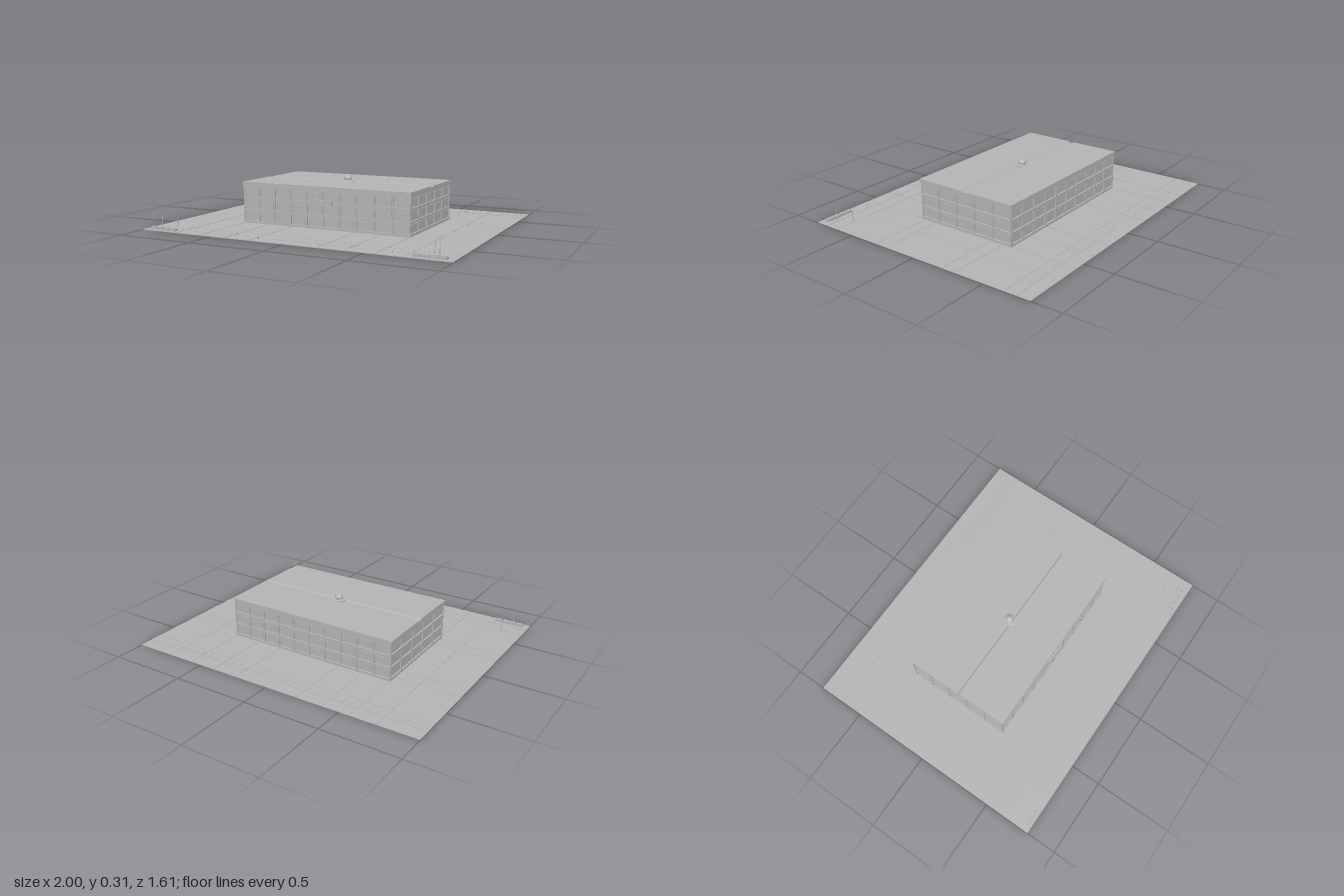
import * as THREE from 'three';

const stone = new THREE.MeshStandardMaterial({ color: 0xb4b4b4 });
stone.name = 'grey stone';

function add(parent, geometry, name, x = 0, y = 0, z = 0) {
  const mesh = new THREE.Mesh(geometry, stone);
  mesh.name = name;
  mesh.position.set(x, y, z);
  parent.add(mesh);
  return mesh;
}

// Box given by its limits on each axis
function block(parent, name, x0, x1, y0, y1, z0, z1) {
  return add(parent, new THREE.BoxGeometry(x1 - x0, y1 - y0, z1 - z0), name,
    (x0 + x1) / 2, (y0 + y1) / 2, (z0 + z1) / 2);
}

function group(parent, name) {
  const g = new THREE.Group();
  g.name = name;
  parent.add(g);
  return g;
}

// One wall in its own frame: bands, piers and framed panes, facing +z
function wall(parent, name, width, bays) {
  const g = group(parent, name);
  const h = width / 2, bay = width / bays;
  const bands = [[0.004, 0.02], [0.08, 0.094], [0.155, 0.173], [0.233, 0.248]];
  for (const [y0, y1] of bands) block(g, 'band', -h, h, y0, y1, -0.01, 0);
  for (let i = 0; i <= bays; i++) {
    const x = -h + i * bay;
    block(g, 'pier', Math.max(-h, x - 0.005), Math.min(h, x + 0.005), 0.004, 0.248, -0.01, -0.001);
  }
  for (let i = 0; i < bays; i++) {
    const x = -h + (i + 0.5) * bay;
    for (let r = 0; r < 3; r++) {
      block(g, 'windowPane', x - bay / 2 + 0.01, x + bay / 2 - 0.01,
        bands[r][1] + 0.005, bands[r + 1][0] - 0.005, -0.01, -0.006);
    }
  }
  return g;
}

export function createModel() {
  const model = new THREE.Group();
  model.name = 'buildingOnPlaza';

  // Plaza slab with paving fields separated by narrow joints
  const plaza = group(model, 'plaza');
  block(plaza, 'slab', -1, 1, 0, 0.002, -0.805, 0.805);
  const xs = [-1, -0.74, -0.57, -0.39, -0.22, 0.22, 0.39, 0.57, 0.74, 1];
  const zs = [-0.805, -0.722, -0.64, -0.305, -0.217, 0.212, 0.297, 0.633, 0.718, 0.805];
  const j = 0.003;
  for (let a = 0; a < xs.length - 1; a++) {
    for (let b = 0; b < zs.length - 1; b++) {
      block(plaza, 'paving', xs[a] + (a ? j : 0), xs[a + 1] - (a < 8 ? j : 0), 0.002, 0.004,
        zs[b] + (b ? j : 0), zs[b + 1] - (b < 8 ? j : 0));
    }
  }

  // Row of low markers behind the building
  for (let i = 0; i < 30; i++) {
    const x = -0.855 + i * 0.0577;
    block(plaza, 'marker', x - 0.012, x + 0.012, 0.004, 0.006, -0.703, -0.668);
  }

  // Main building, its centre slightly behind the plaza centre
  const building = group(model, 'building');
  const X = 0.577, zf = 0.325, zb = -0.367, zc = (zf + zb) / 2;
  block(building, 'core', -X + 0.01, X - 0.01, 0.004, 0.25, zb + 0.01, zf - 0.01);
  wall(building, 'frontWall', 2 * X, 10).position.z = zf;
  const back = wall(building, 'backWall', 2 * X, 10);
  back.position.z = zb;
  back.rotation.y = Math.PI;
  for (const s of [-1, 1]) {
    const side = wall(building, s > 0 ? 'leftWall' : 'rightWall', zf - zb, 5);
    side.position.set(s * X, 0, zc);
    side.rotation.y = s * Math.PI / 2;
  }

  // Roof with a shallow gutter along its middle
  const profile = new THREE.Shape([
    [zb - 0.003, 0.248], [zf + 0.004, 0.248], [zf + 0.004, 0.269], [0, 0.269],
    [-0.008, 0.26], [-0.035, 0.26], [-0.043, 0.267], [zb - 0.003, 0.267],
  ].map(([z, y]) => new THREE.Vector2(z, y)));
  const roof = new THREE.ExtrudeGeometry(profile, { depth: 1.162, bevelEnabled: false });
  roof.translate(0, 0, -0.581).rotateY(-Math.PI / 2);
  add(building, roof, 'roof');
  block(building, 'fasciaTrim', -0.581, 0.581, 0.247, 0.251, 0, zf + 0.007);

  // Sign board over the entrance
  block(building, 'signBoard', -0.068, 0.068, 0.155, 0.187, zf, zf + 0.011);

  // Small roof cupola
  const cupola = group(building, 'cupola');
  cupola.position.set(0, 0.26, -0.022);
  const dome = [[0.042, 0], [0.042, 0.009], [0.02, 0.013], [0.02, 0.024],
    [0.027, 0.025], [0.027, 0.031], [0.02, 0.039], [0.009, 0.045], [0, 0.05]];
  const cap = new THREE.LatheGeometry(dome.map(([r, y]) => new THREE.Vector2(r, y)), 20);
  add(cupola, cap.toNonIndexed(), 'dome').geometry.computeVertexNormals();
  for (let i = 0; i < 10; i++) {
    const a = i / 10 * Math.PI * 2;
    add(cupola, new THREE.CylinderGeometry(0.0018, 0.0018, 0.014, 6), 'column',
      0.024 * Math.cos(a), 0.018, 0.024 * Math.sin(a));
  }

  // Street furniture, mirrored at both front corners
  for (const s of [-1, 1]) {
    const corner = group(model, s > 0 ? 'leftCorner' : 'rightCorner');
    for (let i = 0; i < 4; i++) {
      const x = s * 0.865 + (i - 1.5) * 0.048;
      block(corner, 'planter', x - 0.0225, x + 0.0225, 0.004, 0.016, 0.754, 0.782);
      block(corner, 'planterTop', x - 0.019, x + 0.019, 0.016, 0.021, 0.758, 0.778);
    }
    add(corner, new THREE.CylinderGeometry(0.0015, 0.002, 0.096, 8), 'tallPole', s * 0.905, 0.052, 0.735);
    add(corner, new THREE.CylinderGeometry(0.0025, 0.0025, 0.06, 8), 'shortPole', s * 0.85, 0.034, 0.655);
    block(corner, 'bench', s * 0.4 - 0.02, s * 0.4 + 0.02, 0.008, 0.012, 0.684, 0.696);
    for (const d of [-0.015, 0.015]) {
      block(corner, 'benchLeg', s * 0.4 + d - 0.002, s * 0.4 + d + 0.002, 0.004, 0.008, 0.686, 0.694);
    }
    for (const x of [0.2, 0.39, 0.645]) {
      add(corner, new THREE.CylinderGeometry(0.003, 0.003, 0.012, 8), 'bollard', s * x, 0.01, 0.745);
    }
  }
  return model;
}
